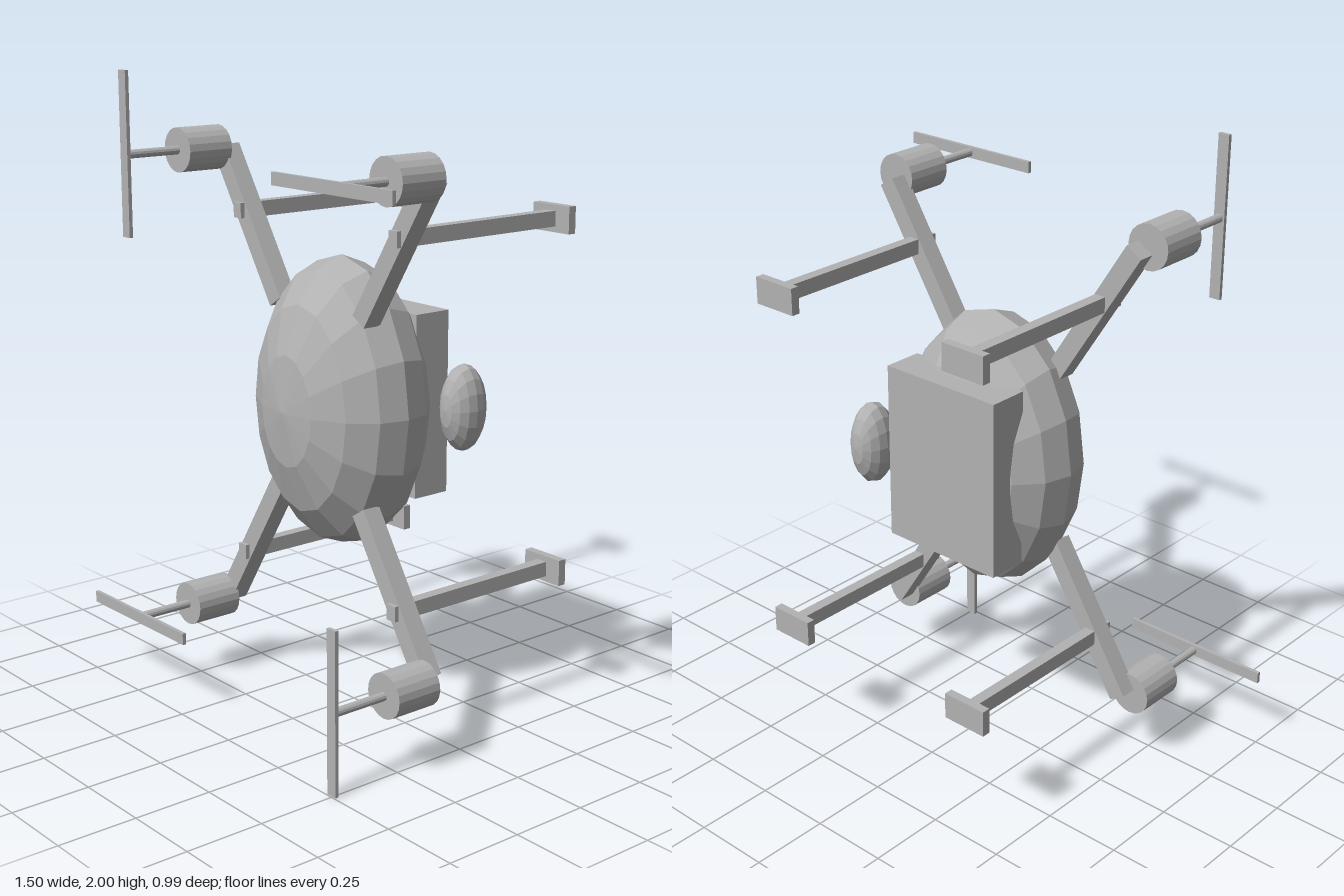
import * as THREE from 'three';

export function createModel() {
  const model = new THREE.Group();
  model.name = 'quadcopter';
  const grey = new THREE.MeshStandardMaterial({ color: 0xb2b2b2, flatShading: true });
  grey.name = 'grey';
  const CY = 1.002;

  function add(parent, name, geometry, x, y, z) {
    const mesh = new THREE.Mesh(geometry, grey);
    mesh.name = name;
    mesh.position.set(x, y, z);
    parent.add(mesh);
    return mesh;
  }
  const box = (w, h, d) => new THREE.BoxGeometry(w, h, d);
  // Faceted ellipsoid with its poles along z
  const ellipsoid = (rx, ry, rz) =>
    new THREE.SphereGeometry(1, 16, 8).rotateX(Math.PI / 2).scale(rx, ry, rz);
  // Cylinder along z
  const rod = (r, length, sides) =>
    new THREE.CylinderGeometry(r, r, length, sides).rotateX(Math.PI / 2);

  // Hull, battery pack and side pod
  add(model, 'body', ellipsoid(0.312, 0.457, 0.236), 0, CY, 0.048);
  add(model, 'batteryPack', box(0.43, 0.576, 0.13), 0, CY, -0.13);
  add(model, 'sidePod', ellipsoid(0.065, 0.137, 0.077), 0.3, CY, -0.182);

  // Four corners: arm, motor, shaft, propeller, leg and foot
  for (const sx of [-1, 1]) {
    for (const sy of [-1, 1]) {
      const corner = new THREE.Group();
      corner.name = (sy > 0 ? 'upper' : 'lower') + (sx > 0 ? 'Left' : 'Right') + 'Rotor';
      corner.position.y = CY;
      model.add(corner);

      const inner = new THREE.Vector2(0.2, 0.293);
      const outer = new THREE.Vector2(0.485, 0.742);
      const along = outer.clone().sub(inner);
      const mid = inner.clone().add(outer).multiplyScalar(0.5);
      const arm = add(corner, 'arm', box(along.length(), 0.06, 0.062), sx * mid.x, sy * mid.y, 0.12);
      arm.rotation.z = Math.atan2(sy * along.y, sx * along.x);

      const mx = sx * 0.495, my = sy * 0.746;
      add(corner, 'motor', rod(0.07, 0.158, 20), mx, my, 0.221);
      add(corner, 'shaft', rod(0.0135, 0.19, 12), mx, my, 0.395);
      const blade = add(corner, 'propeller', box(0.507, 0.037, 0.012), mx, my, 0.49);
      if (sx !== sy) blade.rotation.z = Math.PI / 2;

      add(corner, 'leg', box(0.037, 0.048, 0.642), sx * 0.37, sy * 0.56, -0.155);
      add(corner, 'foot', box(0.15, 0.084, 0.028), sx * 0.37, sy * 0.56, -0.484);
    }
  }
  return model;
}
